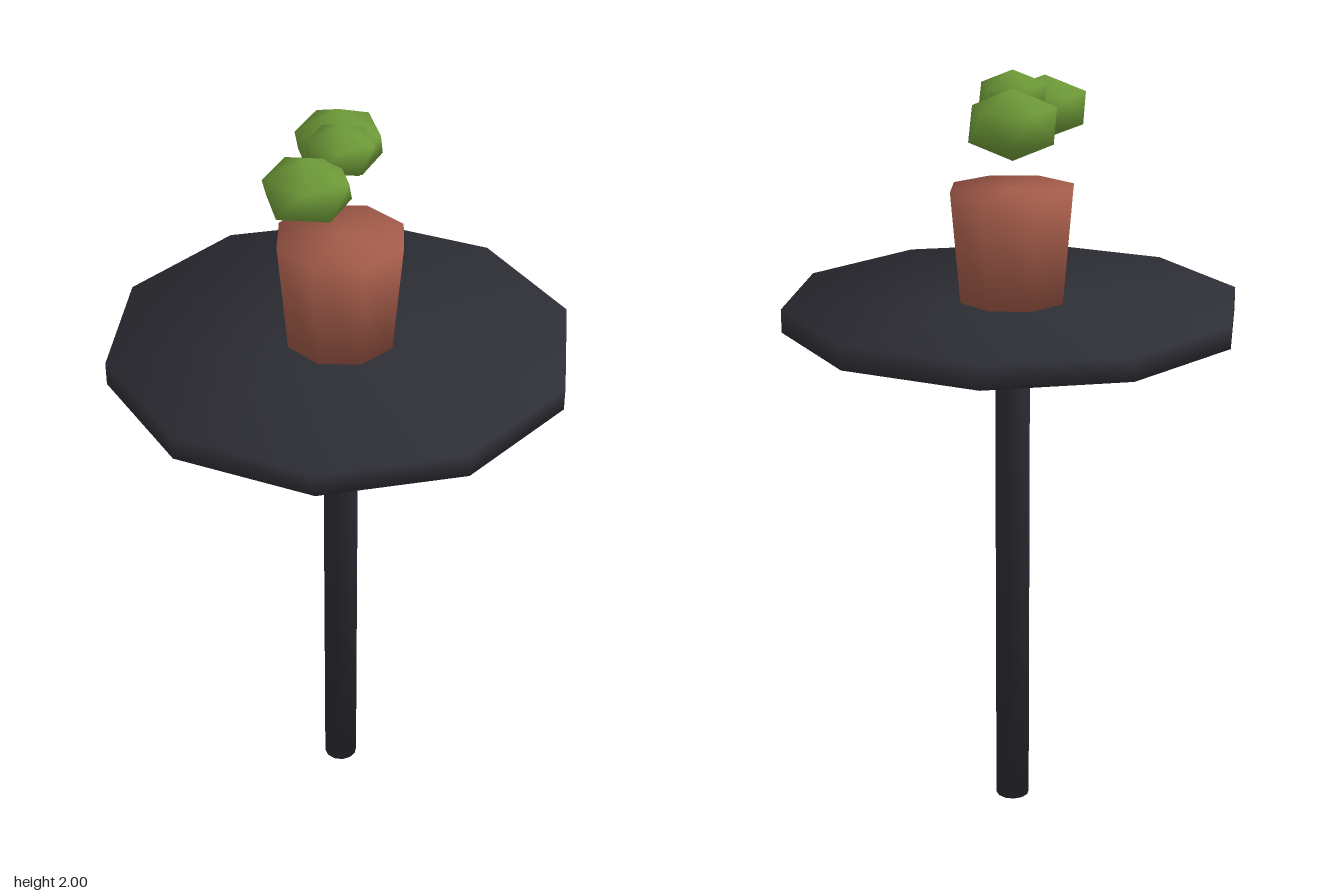
import * as THREE from 'three';

// Revolved solid from a bottom-to-top profile, with softly rounded normals at every rim
function turned(profile, sides) {
  const points = profile.map(([r, y]) => new THREE.Vector2(r, y));
  const geo = new THREE.LatheGeometry(points, sides, Math.PI / 2, Math.PI * 2);
  const segNormals = points.slice(1).map((p, i) =>
    new THREE.Vector2(p.y - points[i].y, points[i].x - p.x).normalize());
  const pos = geo.attributes.position;
  for (let i = 0; i < pos.count; i++) {
    const j = i % points.length;
    const n = new THREE.Vector2();
    if (j > 0) n.add(segNormals[j - 1]);
    if (j < segNormals.length) n.add(segNormals[j]);
    if (points[j].x === 0) n.x = 0; // poles point straight up or down
    n.normalize();
    const phi = Math.PI / 2 + Math.floor(i / points.length) / sides * Math.PI * 2;
    geo.attributes.normal.setXYZ(i, n.x * Math.sin(phi), n.y, n.x * Math.cos(phi));
  }
  return geo;
}

// Squashed smooth icosahedron standing on a vertex
function leafBall(width, height) {
  const geo = new THREE.IcosahedronGeometry(1, 0);
  geo.rotateZ(Math.atan(2 / (1 + Math.sqrt(5))));
  geo.rotateY(Math.PI);
  geo.attributes.normal.copy(geo.attributes.position);
  geo.scale(width, height, width);
  return geo;
}

export function createModel() {
  const model = new THREE.Group();
  const charcoal = new THREE.MeshStandardMaterial({ color: 0x2e2e36 });
  charcoal.name = 'charcoal';
  const terracotta = new THREE.MeshStandardMaterial({ color: 0xa35b49 });
  terracotta.name = 'terracotta';
  const green = new THREE.MeshStandardMaterial({ color: 0x6e9a38 });
  green.name = 'leafGreen';

  const add = (name, geo, material, x = 0, y = 0, z = 0) => {
    const mesh = new THREE.Mesh(geo, material);
    mesh.name = name;
    mesh.position.set(x, y, z);
    model.add(mesh);
  };

  // Table: single post and ten-sided top with a conical underside
  add('post', turned([[0, 0], [0.045, 0], [0.045, 1.32]], 12), charcoal);
  add('tableTop', turned([[0, 1.305], [0.59, 1.36], [0.59, 1.42], [0, 1.42]], 10), charcoal);

  // Tapered eight-sided pot
  add('pot', turned([[0, 1.42], [0.14, 1.42], [0.165, 1.705], [0, 1.705]], 8), terracotta);

  // Floating foliage clumps: x, y, z, width radius, height radius
  const clumps = [
    [0, 1.935, 0, 0.096, 0.065],
    [-0.027, 1.89, 0.132, 0.119, 0.081],
    [-0.057, 1.888, -0.12, 0.122, 0.088],
  ];
  clumps.forEach(([x, y, z, w, h], i) => add(`foliage${i + 1}`, leafBall(w, h), green, x, y, z));

  return model;
}
